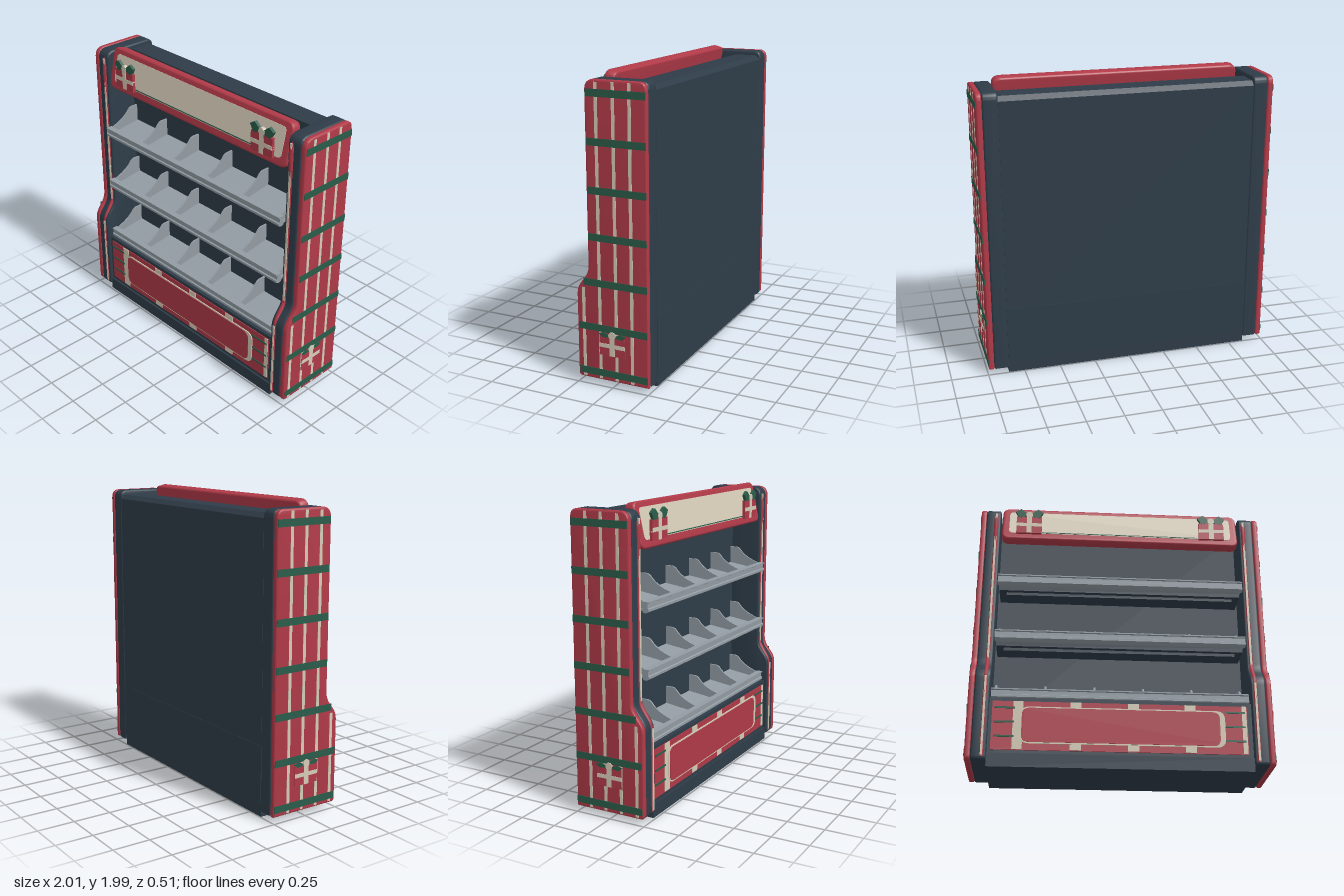
import * as THREE from 'three';
import { toCreasedNormals } from 'three/addons/utils/BufferGeometryUtils.js';

const mat = (name, color) => Object.assign(new THREE.MeshStandardMaterial({ color }), { name });

export function createModel() {
  const model = new THREE.Group();
  model.name = 'displayShelf';
  const red = mat('red', 0xb03a48), dark = mat('slate', 0x2e3c48), cream = mat('cream', 0xd6ccb8);
  const green = mat('green', 0x2a5c4a), grey = mat('grey', 0x929ca3);

  const add = (parent, name, geo, material, x = 0, y = 0, z = 0) => {
    const m = new THREE.Mesh(geo, material);
    m.name = name;
    m.position.set(x, y, z);
    parent.add(m);
    return m;
  };
  // Box given by its limits
  const box = (parent, name, material, x0, x1, y0, y1, z0, z1) =>
    add(parent, name, new THREE.BoxGeometry(x1 - x0, y1 - y0, z1 - z0), material,
      (x0 + x1) / 2, (y0 + y1) / 2, (z0 + z1) / 2);
  const extrude = (shape, depth, bevel = 0) => {
    const geo = new THREE.ExtrudeGeometry(shape, {
      depth: depth - 2 * bevel, curveSegments: 8, bevelEnabled: bevel > 0,
      bevelSize: bevel, bevelThickness: bevel, bevelOffset: -bevel, bevelSegments: 3,
    });
    geo.translate(0, 0, bevel);
    return toCreasedNormals(geo, 0.6);
  };
  // Extrude a (z, y) profile across x from x0 to x1
  const across = (shape, x0, x1, bevel = 0) =>
    extrude(shape, x1 - x0, bevel).rotateY(-Math.PI / 2).translate(x1, 0, 0);
  const poly = (pts) => new THREE.Shape(pts.map(([a, b]) => new THREE.Vector2(a, b)));
  const roundRect = (w, h, r) => {
    const s = new THREE.Shape(), a = w / 2, b = h / 2;
    s.moveTo(-a + r, -b);
    s.lineTo(a - r, -b); s.quadraticCurveTo(a, -b, a, -b + r);
    s.lineTo(a, b - r); s.quadraticCurveTo(a, b, a - r, b);
    s.lineTo(-a + r, b); s.quadraticCurveTo(-a, b, -a, b - r);
    s.lineTo(-a, -b + r); s.quadraticCurveTo(-a, -b, -a + r, -b);
    return s;
  };

  // Gift badge facing +z
  const leaf = poly([[0.012, 0.0], [0.07, -0.012], [0.098, 0.035], [0.06, 0.06], [0.012, 0.02]]);
  const makeGift = (t, bowY, mirrorFlat) => {
    const g = new THREE.Group();
    g.name = 'giftBadge';
    box(g, 'giftBox', red, -0.09, 0.09, -0.065, 0.065, 0, t);
    box(g, 'ribbonUpright', cream, -0.018, 0.018, -0.065, bowY + 0.02, 0, t + 0.003);
    box(g, 'ribbonCross', cream, -0.09, 0.09, -0.012, 0.014, 0, t + 0.003);
    for (const s of [-1, 1]) {
      const m = add(g, 'bowLoop', extrude(leaf, t + 0.001), green, 0, bowY, 0);
      if (s < 0) { m.rotation.y = Math.PI; m.position.z = t + 0.001; }
      if (mirrorFlat) m.scale.y = 0.45;
    }
    add(g, 'bowKnot', new THREE.CylinderGeometry(0.025, 0.025, t + 0.004, 16).rotateX(Math.PI / 2),
      cream, 0, bowY + 0.012, (t + 0.004) / 2);
    return g;
  };

  // Side panel outline in (z, y)
  const side = new THREE.Shape();
  side.moveTo(-0.25, 0.04);
  side.lineTo(0.225, 0.04); side.quadraticCurveTo(0.248, 0.04, 0.248, 0.065);
  side.lineTo(0.248, 0.6); side.bezierCurveTo(0.248, 0.68, 0.163, 0.7, 0.163, 0.79);
  side.lineTo(0.163, 1.89); side.quadraticCurveTo(0.16, 1.945, 0.105, 1.95);
  side.lineTo(-0.205, 1.95); side.quadraticCurveTo(-0.25, 1.945, -0.25, 1.9);
  side.closePath();

  const bands = [0.09, 0.39, 0.685, 0.98, 1.275, 1.575, 1.87];
  for (const s of [-1, 1]) {
    const wing = new THREE.Group();
    wing.name = s > 0 ? 'leftSide' : 'rightSide';
    model.add(wing);
    const span = (a, b) => (s > 0 ? [a, b] : [-b, -a]);
    add(wing, 'outerPanel', across(side, ...span(0.957, 0.995), 0.01), red);
    add(wing, 'innerPanel', across(side, ...span(0.856, 0.957), 0.012), dark);

    // Plaid wrap on the outer face
    for (const [z, top] of [[0.2, 0.645], [0.085, 1.935], [-0.03, 1.94], [-0.14, 1.94]])
      box(wing, 'plaidUpright', cream, ...span(0.993, 0.9965), 0.05, top, z - 0.011, z + 0.011);
    for (const y of bands) {
      const front = y < 0.6 ? 0.238 : y < 0.75 ? 0.198 : 0.155;
      box(wing, 'plaidBand', green, ...span(0.993, 0.998), y - 0.023, y + 0.023, -0.246, front);
    }
    const badge = makeGift(0.006, 0.06, true);
    badge.position.set(s * 0.994, 0.28, 0);
    badge.rotation.y = s * Math.PI / 2;
    wing.add(badge);

    // Trim running down the front edge
    const trim = new THREE.CatmullRomCurve3(
      [[0.06, 0.24], [0.3, 0.24], [0.58, 0.24], [0.64, 0.232], [0.7, 0.196], [0.76, 0.163], [0.82, 0.157],
        [1.2, 0.157], [1.6, 0.157], [1.88, 0.157], [1.935, 0.12]]
        .map(([y, z]) => new THREE.Vector3(s * 0.887, y, z)));
    add(wing, 'frontTrim', new THREE.TubeGeometry(trim, 80, 0.015, 8), red);
    box(wing, 'trimLineLow', cream, ...span(0.88, 0.894), 0.07, 0.61, 0.25, 0.2565);
    box(wing, 'trimLineHigh', cream, ...span(0.88, 0.894), 0.77, 1.9, 0.167, 0.174);
  }

  // Back, cabinet and plinth
  add(model, 'backWall', across(poly([[-0.246, 0.34], [-0.06, 0.34], [-0.06, 1.92],
    [-0.215, 1.92], [-0.246, 1.89]]), -0.857, 0.857), dark);
  box(model, 'lowerCabinet', dark, -0.857, 0.857, 0.09, 0.47, -0.249, 0.222);
  box(model, 'plinth', dark, -0.857, 0.857, 0, 0.09, -0.244, 0.236);

  // Shelves with price rail and dividers
  const tray = poly([[-0.062, -0.03], [0.17, -0.06], [0.17, -0.045], [-0.062, -0.012]]);
  const lip = poly([[0.165, -0.065], [0.185, -0.072], [0.209, -0.06], [0.209, -0.045], [0.2, -0.04],
    [0.2, -0.012], [0.209, -0.008], [0.209, 0], [0.165, 0]]);
  const divider = new THREE.Shape();
  divider.moveTo(-0.062, -0.02);
  divider.lineTo(0.168, -0.05);
  divider.lineTo(0.168, 0);
  divider.quadraticCurveTo(0.06, 0.035, 0.02, 0.09);
  divider.quadraticCurveTo(0.005, 0.108, -0.02, 0.108);
  divider.lineTo(-0.062, 0.108);
  for (const y of [0.543, 0.967, 1.391]) {
    const shelf = new THREE.Group();
    shelf.name = 'shelf';
    shelf.position.y = y;
    model.add(shelf);
    add(shelf, 'shelfTray', across(tray, -0.845, 0.845), grey);
    add(shelf, 'priceRail', across(lip, -0.85, 0.85), grey);
    for (let i = 0; i < 6; i++) {
      const x = -0.831 + i * 0.3315;
      add(shelf, 'divider', across(divider, x - 0.006, x + 0.006), grey);
    }
    if (y > 0.6) box(shelf, 'underShelfLight', dark, -0.79, 0.79, -0.105, -0.085, 0.05, 0.1);
    if (y > 0.6) box(shelf, 'underShelfSupport', dark, -0.84, 0.84, -0.085, -0.055, -0.06, 0.13);
  }

  // Tilted header sign
  const sign = new THREE.Group();
  sign.name = 'headerSign';
  sign.position.set(0, 1.84, 0.1);
  sign.rotation.x = -0.22;
  model.add(sign);
  add(sign, 'signFrame', extrude(roundRect(1.69, 0.292, 0.055), 0.07, 0.012), red, 0, 0, -0.035);
  add(sign, 'signFace', extrude(roundRect(1.59, 0.2, 0.03), 0.004), cream, 0, 0.006, 0.034);
  box(sign, 'signLine', green, -0.56, 0.56, -0.09, -0.083, 0.035, 0.04);
  for (const s of [-1, 1]) {
    const gift = makeGift(0.02, 0.07, false);
    gift.position.set(s * 0.653, 1.812, 0.158);
    model.add(gift);
  }

  // Lower front panel with plaid and framed field
  const panel = new THREE.Group();
  panel.name = 'frontPanel';
  model.add(panel);
  box(panel, 'panelBase', red, -0.835, 0.825, 0.115, 0.445, 0.22, 0.228);
  box(panel, 'plaidWide', cream, -0.7, -0.635, 0.12, 0.445, 0.226, 0.231);
  box(panel, 'plaidEdge', cream, 0.79, 0.82, 0.12, 0.445, 0.226, 0.231);
  for (const x of [-0.295, 0.078, 0.45])
    box(panel, 'plaidUpright', cream, x - 0.036, x + 0.036, 0.12, 0.445, 0.226, 0.231);
  for (const y of [0.205, 0.302, 0.4])
    for (const [x0, x1] of [[-0.82, -0.69], [0.675, 0.81]])
      box(panel, 'plaidBand', green, x0, x1, y - 0.006, y + 0.006, 0.226, 0.233);
  add(panel, 'fieldBorder', extrude(roundRect(1.33, 0.25, 0.06), 0.006), cream, 0.012, 0.283, 0.228);
  add(panel, 'fieldRed', extrude(roundRect(1.285, 0.232, 0.05), 0.006), red, 0.0, 0.283, 0.231);

  return model;
}
